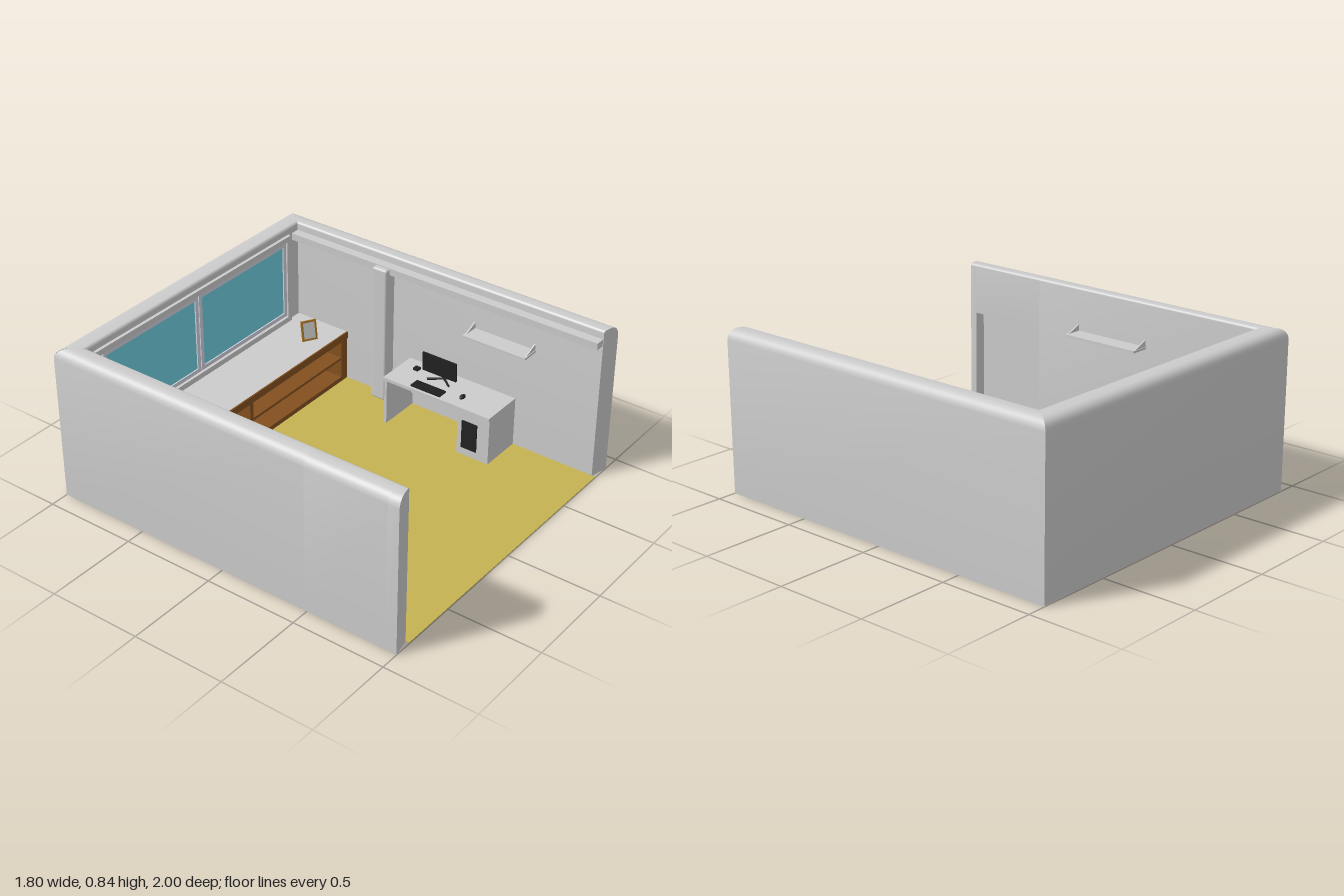
import * as THREE from 'three';
import { toCreasedNormals } from 'three/addons/utils/BufferGeometryUtils.js';
import { RoundedBoxGeometry } from 'three/addons/geometries/RoundedBoxGeometry.js';

const mat = (color) => new THREE.MeshStandardMaterial({ color });
const GREY = mat(0xcccccc), WOOD = mat(0x84501f), FLOOR = mat(0xc4b252), GLASS = mat(0x70cfdf);
const DARK = mat(0x222222), FRAME = mat(0xd2d2e0), GOLD = mat(0xa87428);
const H = 0.84;

function add(parent, name, geometry, material = GREY) {
  const mesh = new THREE.Mesh(geometry, material);
  mesh.name = name;
  parent.add(mesh);
  return mesh;
}

// Box given by its limits on each axis
function block(parent, name, [x0, x1], [y0, y1], [z0, z1], material = GREY) {
  const mesh = add(parent, name, new THREE.BoxGeometry(x1 - x0, y1 - y0, z1 - z0), material);
  mesh.position.set((x0 + x1) / 2, (y0 + y1) / 2, (z0 + z1) / 2);
  return mesh;
}

function group(parent, name) {
  const g = new THREE.Group();
  g.name = name;
  parent.add(g);
  return g;
}

// Wall with rounded top; ends are functions of u (0 outer face, 1 inner face)
function wallGeometry(side, outer, thick, start, end, { notch = 0, base = 0 } = {}) {
  const X = (s) => side * (outer - s);
  const shape = new THREE.Shape();
  const r = 0.05, q = 0.015, deep = 0.04;
  shape.moveTo(X(0), base);
  shape.lineTo(X(0), H - r);
  shape.quadraticCurveTo(X(0.008), H - 0.004, X(r), H);
  shape.lineTo(X(thick - q), H);
  shape.quadraticCurveTo(X(thick), H, X(thick), H - q);
  if (notch) {
    shape.lineTo(X(thick), notch);
    shape.lineTo(X(deep), notch);
    shape.lineTo(X(deep), base);
  } else shape.lineTo(X(thick), base);
  const geo = new THREE.ExtrudeGeometry(shape, { depth: 1, bevelEnabled: false, curveSegments: 8 });
  const p = geo.attributes.position;
  for (let i = 0; i < p.count; i++) {
    const u = (outer - Math.abs(p.getX(i))) / thick;
    p.setZ(i, THREE.MathUtils.lerp(start(u), end(u), p.getZ(i)));
  }
  return toCreasedNormals(geo, 0.6);
}

// Rectangular border with an opening, facing +z
function borderGeometry(w, h, t, depth) {
  const rect = (P, a, b) => new P([[-a, -b], [a, -b], [a, b], [-a, b]].map(([x, y]) => new THREE.Vector2(x, y)));
  const shape = rect(THREE.Shape, w / 2, h / 2);
  shape.holes.push(rect(THREE.Path, w / 2 - t, h / 2 - t));
  return new THREE.ExtrudeGeometry(shape, { depth, bevelEnabled: false });
}

function buildWalls(room) {
  const mitre = (u) => -1 + 0.12 * u, front = (u) => 1 - 0.022 * u;
  add(room, 'rightWall', wallGeometry(-1, 0.9, 0.1, mitre, () => 0.49));
  add(room, 'doorwayWall', wallGeometry(-1, 0.9, 0.1, () => 0.49, () => 0.94, { notch: 0.57 }));
  add(room, 'doorPost', wallGeometry(-1, 0.9, 0.1, () => 0.94, front));
  add(room, 'leftWall', wallGeometry(1, 0.9, 0.1, mitre, front));
  const back = wallGeometry(-1, 1, 0.12, (u) => -0.9 + 0.1 * u, (u) => 0.9 - 0.1 * u, { base: 0.004 });
  add(room, 'backWall', back.rotateY(-Math.PI / 2));
  block(room, 'cabinetFooting', [-0.8, 0.8], [0, 0.003], [-0.99, -0.88], WOOD);
  block(room, 'floor', [-0.8, 0.8], [0, 0.004], [-0.88, 0.998], FLOOR);
  // Ceiling rail and column on the left wall
  block(room, 'ceilingRail', [0.75, 0.8], [0.757, 0.795], [-0.88, 0.975]);
  const column = add(room, 'column', new RoundedBoxGeometry(0.08, 0.78, 0.09, 3, 0.012));
  column.position.set(0.76, 0.4, -0.29);
  block(room, 'wallSwitch', [-0.8, -0.787], [0.3, 0.34], [0, 0.04]);
}

function buildWindow(room) {
  const win = group(room, 'window');
  add(win, 'windowTrim', borderGeometry(1.475, 0.51, 0.03, 0.018)).position.set(-0.0175, 0.545, -0.881);
  for (const [x0, x1] of [[-0.705, -0.018], [-0.012, 0.685]]) {
    const w = x1 - x0, cx = (x0 + x1) / 2;
    add(win, 'windowFrame', borderGeometry(w, 0.44, 0.022, 0.013), FRAME).position.set(cx, 0.55, -0.881);
    block(win, 'windowPane', [x0 + 0.015, x1 - 0.015], [0.35, 0.755], [-0.885, -0.875], GLASS);
  }
}

function buildCabinet(room) {
  const cab = group(room, 'cabinet');
  block(cab, 'counterTop', [-0.8, 0.8], [0.25, 0.29], [-0.88, -0.556]);
  block(cab, 'counterEdge', [-0.8, 0.8], [0.25, 0.29], [-0.556, -0.548], WOOD);
  block(cab, 'cabinetBack', [-0.8, 0.8], [0, 0.25], [-0.88, -0.865], WOOD);
  block(cab, 'cabinetBase', [-0.8, 0.8], [0.004, 0.03], [-0.865, -0.552], WOOD);
  for (const [x0, x1] of [[-0.8, -0.77], [-0.015, 0.01], [0.75, 0.8]])
    block(cab, 'cabinetUpright', [x0, x1], [0.03, 0.25], [-0.865, -0.552], WOOD);
  block(cab, 'cabinetShelf', [-0.77, -0.015], [0.115, 0.13], [-0.865, -0.555], WOOD);
  block(cab, 'cabinetShelf', [0.01, 0.75], [0.135, 0.15], [-0.865, -0.555], WOOD);
}

// Wall shelf with a triangular bracket at each end
function buildShelf(room, side, y, z0, z1) {
  const shelf = group(room, side < 0 ? 'rightShelf' : 'leftShelf');
  const xs = [side * 0.8, side * 0.7].sort((a, b) => a - b);
  block(shelf, 'shelfBoard', xs, [y - 0.012, y], [z0, z1]);
  const tri = new THREE.Shape([[0.8, y], [0.72, y], [0.8, y + 0.033]].map(([x, v]) => new THREE.Vector2(side * x, v)));
  for (const z of [z0 + 0.004, z1 - 0.012])
    add(shelf, 'shelfBracket', new THREE.ExtrudeGeometry(tri, { depth: 0.008, bevelEnabled: false })).position.z = z;
}

function buildDesk(room) {
  const desk = group(room, 'desk');
  block(desk, 'deskTop', [0.56, 0.8], [0.262, 0.28], [-0.14, 0.51]);
  block(desk, 'deskSide', [0.565, 0.8], [0, 0.262], [-0.135, -0.12]);
  block(desk, 'deskPedestal', [0.565, 0.8], [0, 0.262], [0.32, 0.51]);
  block(desk, 'deskBackPanel', [0.785, 0.8], [0.08, 0.262], [-0.12, 0.32]);
  block(desk, 'computerTower', [0.558, 0.6], [0.05, 0.21], [0.35, 0.44], DARK);

  // Keyboard with rows of keys, mouse and small box
  block(desk, 'keyboard', [0.575, 0.635], [0.28, 0.287], [0.02, 0.2], DARK);
  for (let r = 0; r < 4; r++)
    for (let c = 0; c < 11; c++) {
      const x = 0.579 + r * 0.0138, z = 0.024 + c * 0.0157;
      block(desk, 'key', [x, x + 0.011], [0.287, 0.29], [z, z + 0.013], DARK);
    }
  const mouse = add(desk, 'mouse', new THREE.SphereGeometry(1, 16, 10), DARK);
  mouse.scale.set(0.022, 0.012, 0.013);
  mouse.position.set(0.645, 0.284, 0.293);
  block(desk, 'deskBox', [0.71, 0.74], [0.28, 0.292], [-0.06, -0.03], DARK);

  // Monitor on a splayed stand
  const screen = block(desk, 'monitorScreen', [0.68, 0.69], [0.325, 0.432], [0.02, 0.225], DARK);
  screen.rotation.z = 0.04;
  const bar = (name, a, b, r) => add(desk, name, new THREE.TubeGeometry(
    new THREE.LineCurve3(new THREE.Vector3(...a), new THREE.Vector3(...b)), 1, r, 8), DARK);
  bar('monitorArm', [0.688, 0.38, 0.122], [0.735, 0.287, 0.122], 0.008);
  for (const s of [-1, 1]) {
    bar('standFoot', [0.73, 0.286, 0.122], [0.675, 0.285, 0.122 + s * 0.07], 0.006);
    bar('standFoot', [0.72, 0.286, 0.122], [0.76, 0.285, 0.122 + s * 0.02], 0.006);
  }
}

function buildPictureFrame(room) {
  const pic = group(room, 'pictureFrame');
  pic.position.set(0.61, 0.29, -0.655);
  pic.rotation.set(-0.22, -0.52, 0, 'YXZ');
  add(pic, 'pictureBorder', borderGeometry(0.085, 0.11, 0.01, 0.012), GOLD).position.set(0, 0.055, -0.006);
  block(pic, 'picture', [-0.034, 0.034], [0.009, 0.101], [-0.004, 0.002]);
  const prop = block(pic, 'pictureStand', [-0.01, 0.01], [0, 0.075], [-0.026, -0.022], GOLD);
  prop.rotation.x = 0.45;
}

export function createModel() {
  const room = new THREE.Group();
  room.name = 'room';
  buildWalls(room);
  buildWindow(room);
  buildCabinet(room);
  buildShelf(room, -1, 0.61, -0.22, 0.23);
  buildShelf(room, 1, 0.6, 0.24, 0.61);
  buildDesk(room);
  buildPictureFrame(room);
  return room;
}
